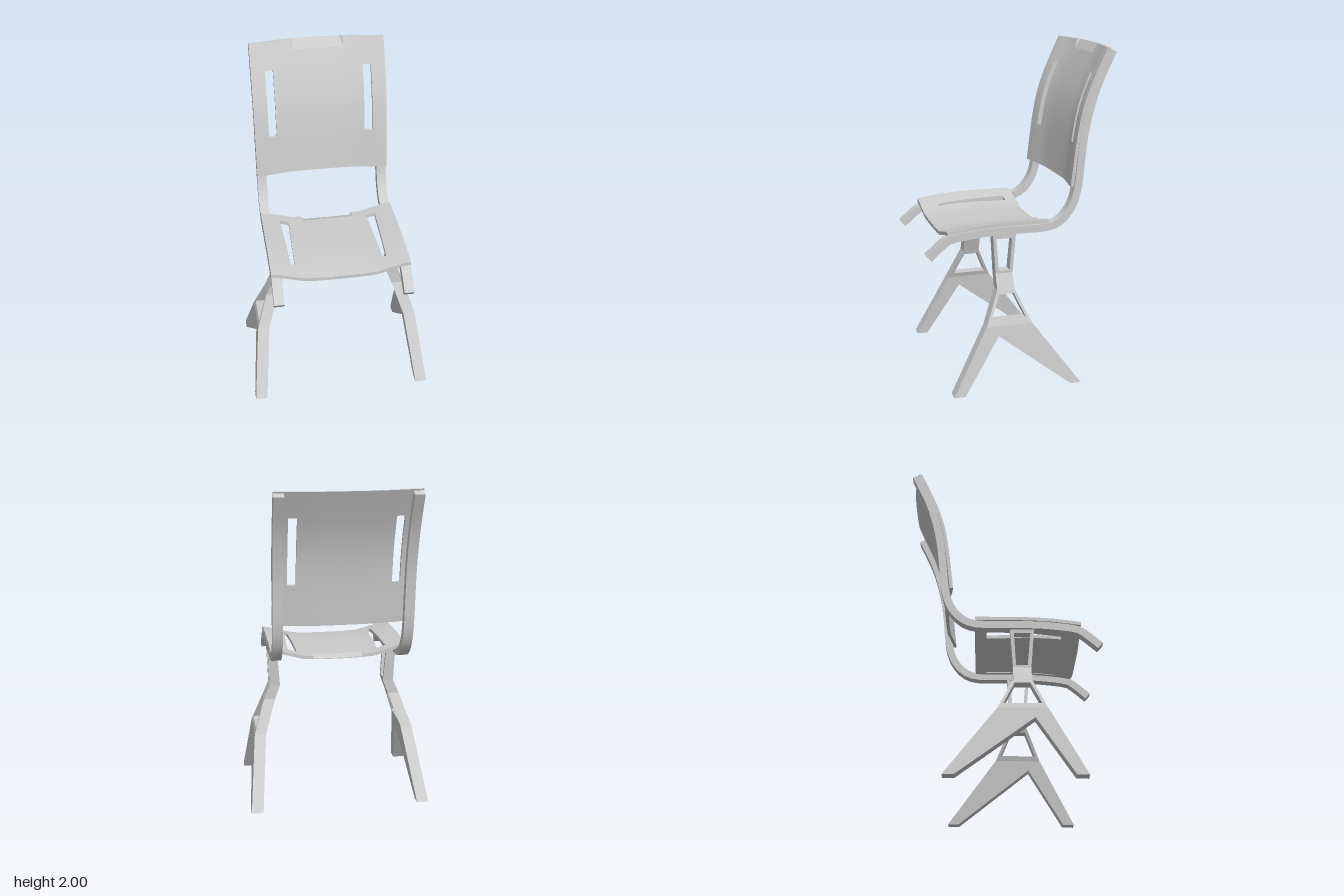
import * as THREE from 'three';
import { toCreasedNormals } from 'three/addons/utils/BufferGeometryUtils.js';

const grey = new THREE.MeshStandardMaterial({ color: 0xcccccc });

function mesh(name, geometry) {
  const m = new THREE.Mesh(geometry, grey);
  m.name = name;
  return m;
}

// Piecewise linear lookup through [key, value] pairs in rising key order
function lerpTable(table, k) {
  let i = 1;
  while (i < table.length - 1 && k > table[i][0]) i++;
  const [a, b] = [table[i - 1], table[i]];
  return THREE.MathUtils.mapLinear(THREE.MathUtils.clamp(k, a[0], b[0]), a[0], b[0], a[1], b[1]);
}

// Side outline given in [z, y], extruded across x from -1 to 1; a hole runs the opposite way round
function sideExtrude(points, hole) {
  const toV = ([z, y]) => new THREE.Vector2(-z, y);
  const shape = new THREE.Shape(points.map(toV));
  if (hole) shape.holes.push(new THREE.Path(hole.map(toV)));
  const g = new THREE.ExtrudeGeometry(shape, { depth: 2, bevelEnabled: false });
  return g.translate(0, 0, -1).rotateY(Math.PI / 2);
}

// Dished panel: a grid with two slots, walls closed round every open edge.
// slot(v) gives [inner, outer] x; point(x, v, layer) gives a position.
function dishedPanel(vs, slotRange, slot, point) {
  const columns = v => {
    const [i, o] = slot(v);
    const half = [0, 0.08, 0.15, 0.167, 0.215, i, o, 0.37, 0.418];
    return [...half.slice(1).reverse().map(x => -x), ...half];
  };
  const nx = 16, nv = vs.length - 1, pos = [];
  const solid = (c, r) => {
    if (c < 0 || r < 0 || c >= nx || r >= nv) return false;
    const mid = (vs[r] + vs[r + 1]) / 2;
    return !((c === 2 || c === 13) && mid > slotRange[0] && mid < slotRange[1]);
  };
  const at = (c, r, layer) => point(columns(vs[r])[c], vs[r], layer);
  const quad = (a, b, c, d) => pos.push(...a, ...b, ...c, ...a, ...c, ...d);
  for (let c = 0; c < nx; c++) {
    for (let r = 0; r < nv; r++) {
      if (!solid(c, r)) continue;
      const k = [[c, r], [c, r + 1], [c + 1, r + 1], [c + 1, r]];
      const top = k.map(p => at(...p, 0)), low = k.map(p => at(...p, 1));
      quad(...top);
      quad(...low.slice().reverse());
      [[-1, 0], [0, 1], [1, 0], [0, -1]].forEach(([dc, dr], e) => {
        const f = (e + 1) % 4;
        if (!solid(c + dc, r + dr)) quad(top[e], low[e], low[f], top[f]);
      });
    }
  }
  const g = new THREE.BufferGeometry();
  g.setAttribute('position', new THREE.Float32BufferAttribute(pos, 3));
  return toCreasedNormals(g, 0.2);
}

// Sag of the panels across their width, 0 at the sides and 1 in the middle
const sag = x => lerpTable([[0, 1], [0.08, 0.99], [0.15, 0.955], [0.215, 0.87], [0.25, 0.73],
  [0.3, 0.46], [0.37, 0.13], [0.418, 0]], Math.abs(x));
// Shallow finger grip along one edge; t is 1 at the edge
const grip = (x, t) => 0.016 * Math.max(0, t) * lerpTable([[0.15, 1], [0.167, 0]], Math.abs(x));

function makeSeat() {
  const edge = [[-0.17, 1.0], [0.1, 1.0], [0.2, 0.997], [0.3, 0.99], [0.4, 0.978], [0.45, 0.97]];
  const vs = [-0.17, -0.125, -0.1, 0.1, 0.2, 0.3, 0.345, 0.4, 0.45];
  const slot = z => {
    const t = THREE.MathUtils.clamp((z + 0.1) / 0.445, 0, 1);
    return [0.25 + 0.017 * t, 0.3045 - 0.0155 * t];
  };
  return mesh('seat', dishedPanel(vs, [-0.1, 0.345], slot, (x, z, layer) => {
    const drop = 0.056 * sag(x) + (layer ? 0.021 : grip(x, (-0.125 - z) / 0.045));
    return [x, lerpTable(edge, z) - drop, z];
  }));
}

function makeBackrest() {
  const curve = new THREE.SplineCurve([[1.19, -0.302], [1.3, -0.315], [1.45, -0.333], [1.63, -0.366],
    [1.79, -0.42], [2.0, -0.515]].map(p => new THREE.Vector2(...p)));
  const edge = curve.getPoints(40).map(p => [p.x, p.y]);
  const vs = [2.0, 1.945, 1.9, 1.845, 1.78, 1.71, 1.64, 1.57, 1.5, 1.44, 1.36, 1.27, 1.19];
  return mesh('backrest', dishedPanel(vs, [1.44, 1.845], () => [0.28, 0.33], (x, y, layer) => {
    const back = 0.037 * sag(x) + (layer ? 0.02 : grip(x, (y - 1.945) / 0.055));
    return [x, y, lerpTable(edge, y) - back];
  }));
}

// Bent side rail running under the seat and up behind the backrest
function makeRail(side) {
  const path = new THREE.SplineCurve([[0.56, 0.82], [0.46, 0.906], [0.41, 0.927], [0.33, 0.938],
    [0.2, 0.949], [0, 0.951], [-0.15, 0.952], [-0.23, 0.975], [-0.29, 1.03], [-0.328, 1.1], [-0.352, 1.2],
    [-0.37, 1.38], [-0.385, 1.5], [-0.412, 1.63], [-0.462, 1.79], [-0.55, 1.984]]
    .map(p => new THREE.Vector2(...p)));
  const n = 48, upper = [], lower = [];
  for (let i = 0; i <= n; i++) {
    const p = path.getPointAt(i / n), t = path.getTangentAt(i / n);
    upper.push([p.x + t.y * 0.023, p.y - t.x * 0.023]);
    lower.unshift([p.x - t.y * 0.023, p.y + t.x * 0.023]);
  }
  const g = sideExtrude([...upper, ...lower]).scale(0.03, 1, 1);
  const rail = mesh(side > 0 ? 'leftRail' : 'rightRail', toCreasedNormals(g, 0.6));
  rail.position.x = side * 0.388;
  return rail;
}

// Forked leg: four sections that meet at the levels where the leg bends sideways
function makeLeg(side) {
  const centre = [[0, 0.52], [0.4, 0.471], [0.6, 0.402], [0.69, 0.366], [0.935, 0.38]];
  const halfWidth = [[0, 0.036], [0.6, 0.036], [0.69, 0.033], [0.935, 0.028]];
  const sections = {
    feet: [[[0.456, 0], [0.244, 0.4], [-0.037, 0.4], [-0.334, 0], [-0.268, 0], [0.172, 0.34], [0.388, 0]]],
    fork: [[[0.244, 0.4], [0.159, 0.6], [0.053, 0.6], [-0.037, 0.4]],
      [[-0.004, 0.43], [0.06, 0.575], [0.149, 0.575], [0.212, 0.43]]],
    neck: [[[0.159, 0.6], [0.159, 0.69], [0.053, 0.69], [0.053, 0.6]]],
    upperFrame: [[[0.159, 0.69], [0.177, 0.935], [0.035, 0.935], [0.053, 0.69]],
      [[0.071, 0.705], [0.058, 0.905], [0.155, 0.905], [0.138, 0.705]]],
  };
  const leg = new THREE.Group();
  leg.name = side > 0 ? 'leftLeg' : 'rightLeg';
  for (const [name, [outline, hole]] of Object.entries(sections)) {
    const g = sideExtrude(outline, hole), p = g.attributes.position;
    for (let i = 0; i < p.count; i++) {
      const y = p.getY(i);
      p.setX(i, side * lerpTable(centre, y) + p.getX(i) * lerpTable(halfWidth, y));
    }
    g.computeVertexNormals();
    leg.add(mesh(name, g));
  }
  return leg;
}

export function createModel() {
  const chair = new THREE.Group();
  chair.name = 'chair';
  const shell = new THREE.Group();
  shell.name = 'seatAndBack';
  shell.add(makeSeat(), makeBackrest(), makeRail(1), makeRail(-1));
  shell.position.x = -0.008;
  chair.add(shell, makeLeg(1), makeLeg(-1));
  return chair;
}
